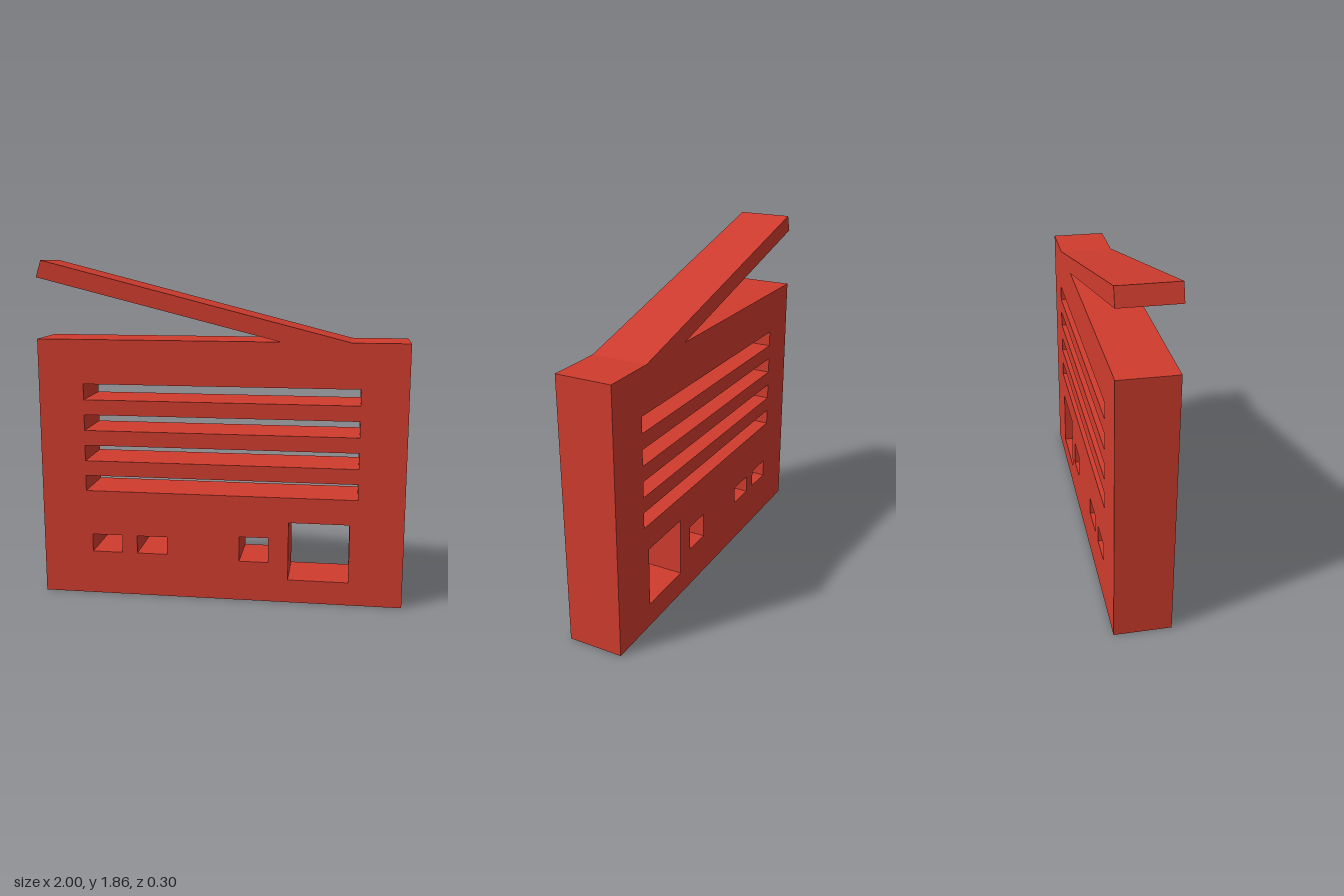
import * as THREE from 'three';

const W = 2, H = 1.44, DEPTH = 0.3;

// Rectangular outline from its edges
function rect(PathType, x0, x1, y0, y1) {
  const p = new PathType();
  p.moveTo(x0, y0).lineTo(x1, y0).lineTo(x1, y1).lineTo(x0, y1).closePath();
  return p;
}

// Extrude a front outline, centred on z = 0
function slab(name, shape, material) {
  const geometry = new THREE.ExtrudeGeometry(shape, { depth: DEPTH, bevelEnabled: false });
  geometry.translate(0, 0, -DEPTH / 2);
  const mesh = new THREE.Mesh(geometry, material);
  mesh.name = name;
  return mesh;
}

export function createModel() {
  const group = new THREE.Group();
  group.name = 'radio';
  const red = new THREE.MeshStandardMaterial({ color: 0xd03c2e });
  red.name = 'red';

  // Case with everything cut right through
  const body = rect(THREE.Shape, -W / 2, W / 2, 0, H);

  // Four speaker slots
  for (let i = 0; i < 4; i++) {
    const y = 0.597 + i * 0.171;
    body.holes.push(rect(THREE.Path, -0.75, 0.75, y, y + 0.087));
  }

  // Two buttons, small knob and large dial openings
  const openings = [
    [-0.72, -0.55, 0.245, 0.345],
    [-0.465, -0.295, 0.245, 0.345],
    [0.11, 0.27, 0.225, 0.365],
    [0.38, 0.71, 0.13, 0.457],
  ];
  for (const o of openings) body.holes.push(rect(THREE.Path, ...o));
  group.add(slab('case', body, red));

  // Slanted antenna, cut flush with the top of the case
  const antenna = new THREE.Shape([
    [0.325, H], [0.697, H], [-0.965, 1.86], [-0.993, 1.77],
  ].map(([x, y]) => new THREE.Vector2(x, y)));
  group.add(slab('antenna', antenna, red));

  return group;
}
